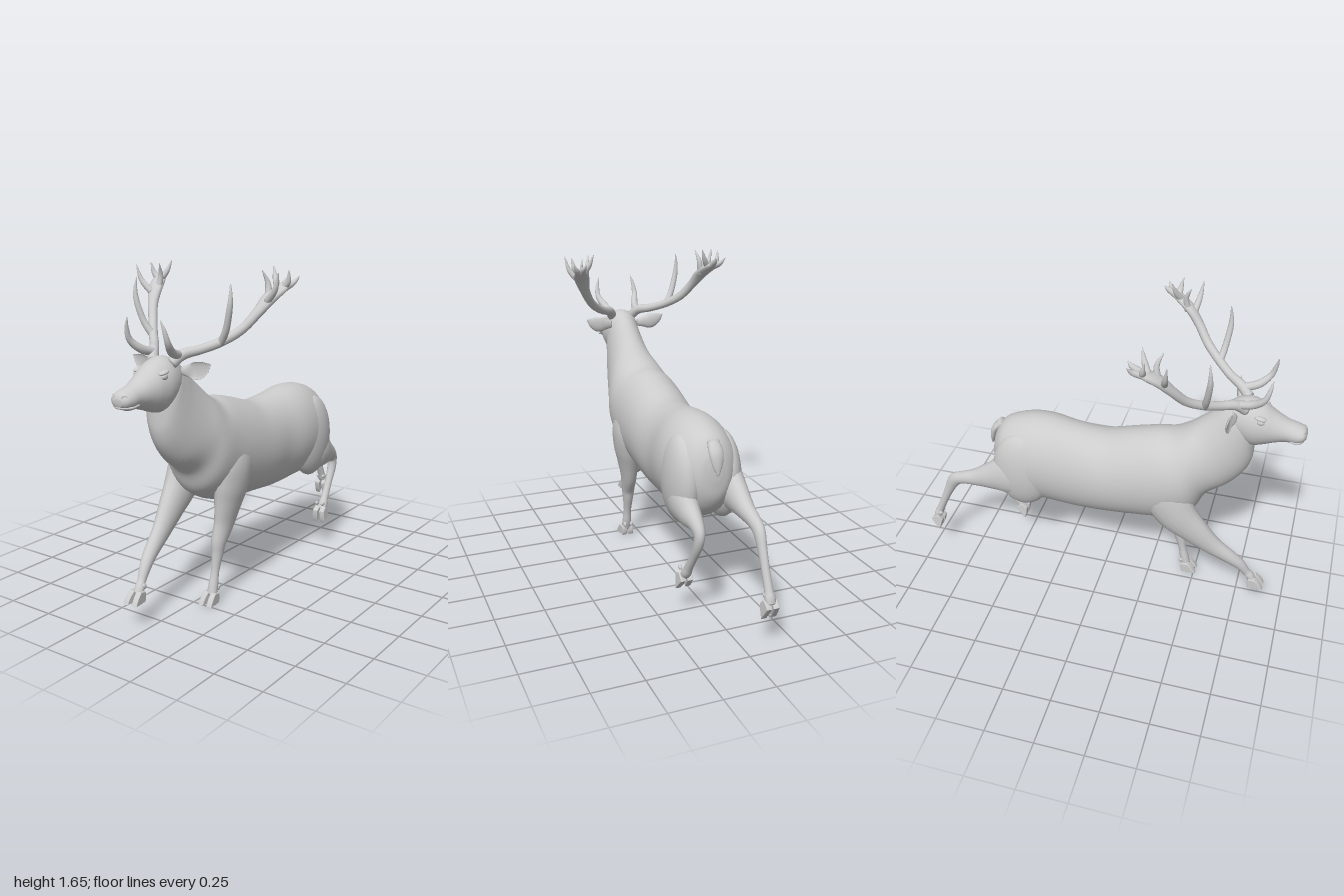
import * as THREE from 'three';

const V = (x, y, z) => new THREE.Vector3(x, y, z);
const X = V(1, 0, 0), Z = V(0, 0, 1);
const material = new THREE.MeshStandardMaterial({ color: 0xcccccc, roughness: 0.8 });

function part(name, geometry) {
  const m = new THREE.Mesh(geometry, material);
  m.name = name;
  return m;
}

// Smooth closed skin over elliptical rings { c: centre, side, up }
function skin(rings, n) {
  const pos = [], idx = [];
  for (const { c, side, up } of rings) {
    for (let j = 0; j < n; j++) {
      const a = (j / n) * Math.PI * 2;
      const p = c.clone().addScaledVector(side, Math.cos(a)).addScaledVector(up, Math.sin(a));
      pos.push(p.x, p.y, p.z);
    }
  }
  for (let i = 0; i < rings.length - 1; i++) {
    for (let j = 0; j < n; j++) {
      const k = (j + 1) % n, a = i * n + j, b = i * n + k;
      idx.push(a, b, b + n, a, b + n, a + n);
    }
  }
  const last = (rings.length - 1) * n, tip = rings.length * n;
  for (const r of [rings[0], rings[rings.length - 1]]) pos.push(r.c.x, r.c.y, r.c.z);
  for (let j = 0; j < n; j++) {
    const k = (j + 1) % n;
    idx.push(tip, k, j, tip + 1, last + j, last + k);
  }
  const g = new THREE.BufferGeometry();
  g.setAttribute('position', new THREE.Float32BufferAttribute(pos, 3));
  g.setIndex(idx);
  g.computeVertexNormals();
  return g;
}

const spline = (pts) => new THREE.CatmullRomCurve3(pts, false, 'catmullrom', 0.5);

// Body loft from stations [topZ, topY, bottomZ, bottomY, halfWidth, centreX]
function trunk(rows, n, sub) {
  const mid = spline(rows.map(([tz, ty, bz, by, , x = 0]) => V(x, (ty + by) / 2, (tz + bz) / 2)));
  const ups = spline(rows.map(([tz, ty, bz, by]) => V(0, (ty - by) / 2, (tz - bz) / 2)));
  const wid = spline(rows.map((r) => V(r[4], 0, 0)));
  const rings = [], steps = (rows.length - 1) * sub;
  for (let i = 0; i <= steps; i++) {
    const t = i / steps;
    rings.push({ c: mid.getPoint(t), side: wid.getPoint(t), up: ups.getPoint(t) });
  }
  return skin(rings, n);
}

// Tapered limb along stations [x, y, z, radius across, radius in plane]
function limb(rows, n = 16, sub = 5, ref = X) {
  const path = spline(rows.map((r) => V(r[0], r[1], r[2])));
  const rad = spline(rows.map((r) => V(r[3], r[4] ?? r[3], 0)));
  const rings = [], steps = (rows.length - 1) * sub;
  for (let i = 0; i <= steps; i++) {
    const t = path.getTangent(i / steps), r = rad.getPoint(i / steps);
    const side = ref.clone().addScaledVector(t, -ref.dot(t)).normalize();
    const up = t.clone().cross(side);
    rings.push({ c: path.getPoint(i / steps), side: side.multiplyScalar(r.x), up: up.multiplyScalar(r.y) });
  }
  return skin(rings, n);
}

function ball(name, x, y, z, rx, ry, rz, tilt = 0) {
  const m = part(name, new THREE.SphereGeometry(1, 24, 16));
  m.position.set(x, y, z);
  m.scale.set(rx, ry, rz);
  m.rotation.x = tilt;
  return m;
}

// Cloven hoof with its heel at (x, y, z), pitched toe-down
function hoof(name, x, y, z, pitch) {
  const g = new THREE.Group();
  g.name = name;
  const s = new THREE.Shape();
  s.moveTo(0.002, 0.004);
  s.lineTo(0.072, 0.004);
  s.quadraticCurveTo(0.055, 0.035, 0.03, 0.055);
  s.lineTo(0, 0.05);
  s.quadraticCurveTo(-0.008, 0.025, 0.002, 0.004);
  const toe = new THREE.ExtrudeGeometry(s, {
    depth: 0.018, bevelEnabled: true, bevelSize: 0.004, bevelThickness: 0.006, bevelSegments: 2, curveSegments: 5,
  }).translate(0, 0, -0.009).rotateY(-Math.PI / 2);
  for (const k of [-1, 1]) {
    const t = part('toe', toe);
    t.position.x = k * 0.018;
    t.rotation.y = k * 0.1;
    g.add(t, ball('dewclaw', k * 0.018, 0.072, -0.012, 0.009, 0.015, 0.011, 0.5));
  }
  g.position.set(x, y, z);
  g.rotation.x = pitch;
  return g;
}

// s = 1 builds the left antler, s = -1 the right one
function antler(s) {
  const g = new THREE.Group();
  g.name = s > 0 ? 'leftAntler' : 'rightAntler';
  const add = (name, rows) => g.add(part(name, limb(rows.map(([x, ...r]) => [s * x, ...r]), 12, 6)));
  add('beam', [[0.055, 1.24, 0.70, 0.026], [0.085, 1.28, 0.655, 0.025], [0.135, 1.298, 0.59, 0.022],
    [0.20, 1.33, 0.52, 0.022], [0.26, 1.38, 0.45, 0.022], [0.305, 1.45, 0.395, 0.026, 0.022],
    [0.335, 1.515, 0.34, 0.038, 0.022], [0.36, 1.555, 0.28, 0.036, 0.018], [0.37, 1.575, 0.24, 0.018, 0.012]]);
  add('browTine', [[0.075, 1.275, 0.66, 0.02], [0.09, 1.30, 0.735, 0.02], [0.11, 1.345, 0.785, 0.015],
    [0.108, 1.40, 0.805, 0.01], [0.095, 1.45, 0.815, 0.002]]);
  add('middleTine', [[0.20, 1.325, 0.525, 0.018], [0.24, 1.39, 0.54, 0.016], [0.268, 1.48, 0.553, 0.014],
    [0.275, 1.54, 0.553, 0.009], [0.27, 1.595, 0.547, 0.002]]);
  // short points around the crown: start, bend, tip
  const points = [
    [0.335, 1.50, 0.36, 0.39, 1.56, 0.375, 0.413, 1.635, 0.385],
    [0.325, 1.51, 0.33, 0.315, 1.58, 0.32, 0.30, 1.64, 0.345],
    [0.35, 1.55, 0.29, 0.32, 1.60, 0.265, 0.30, 1.652, 0.25],
    [0.37, 1.56, 0.27, 0.395, 1.59, 0.275, 0.405, 1.64, 0.285],
    [0.36, 1.565, 0.26, 0.36, 1.59, 0.22, 0.355, 1.61, 0.20],
    [0.375, 1.56, 0.27, 0.395, 1.58, 0.23, 0.415, 1.61, 0.21],
  ];
  for (const p of points) {
    add('crownPoint', [[...p.slice(0, 3), 0.018], [...p.slice(3, 6), 0.013], [...p.slice(6), 0.002]]);
  }
  return g;
}

// Leaf-shaped ear, its front hollowed into a cup
function ear(s) {
  const geo = limb([[0, 0, 0, 0.012, 0.02], [s * 0.035, 0.003, 0, 0.016, 0.03], [s * 0.075, 0.006, 0, 0.018, 0.041],
    [s * 0.115, 0.022, 0, 0.013, 0.03], [s * 0.148, 0.04, 0, 0.003, 0.004]], 20, 5, Z);
  const p = geo.attributes.position;
  for (let i = 0; i < p.count; i++) {
    const out = THREE.MathUtils.smoothstep(Math.abs(p.getX(i)), 0.02, 0.06);
    if (p.getZ(i) > 0) p.setZ(i, p.getZ(i) * (1 - 1.5 * out));
  }
  geo.computeVertexNormals();
  const m = part(s > 0 ? 'leftEar' : 'rightEar', geo);
  m.position.set(s * 0.078, 1.205, 0.655);
  m.rotation.y = s * 0.12;
  return m;
}

export function createModel() {
  const stag = new THREE.Group();
  stag.name = 'stag';

  // Torso running forward into the raised neck
  stag.add(part('torsoAndNeck', trunk([
    [-0.605, 0.79, -0.61, 0.70, 0.03], [-0.588, 0.85, -0.595, 0.60, 0.085], [-0.535, 0.915, -0.53, 0.51, 0.145],
    [-0.42, 0.957, -0.42, 0.455, 0.18], [-0.30, 0.965, -0.30, 0.45, 0.184], [-0.15, 0.945, -0.15, 0.44, 0.174, -0.006],
    [0, 0.938, 0, 0.452, 0.184, -0.01], [0.15, 0.98, 0.18, 0.47, 0.188, -0.014], [0.27, 1.012, 0.36, 0.50, 0.19, -0.016],
    [0.35, 1.022, 0.49, 0.575, 0.185, -0.012], [0.42, 1.06, 0.55, 0.685, 0.162, -0.006], [0.48, 1.11, 0.65, 0.755, 0.132],
    [0.54, 1.165, 0.72, 0.84, 0.112], [0.59, 1.215, 0.752, 0.92, 0.10], [0.635, 1.245, 0.757, 1.0, 0.09],
    [0.68, 1.24, 0.755, 1.06, 0.07]], 40, 5)));
  stag.add(ball('bellySheath', 0, 0.462, -0.13, 0.03, 0.026, 0.13));
  stag.add(part('tail', limb([[0, 0.885, -0.565, 0.03, 0.022], [0, 0.84, -0.605, 0.036, 0.02],
    [0, 0.785, -0.622, 0.026, 0.015], [0, 0.735, -0.632, 0.005]])));

  // Head
  stag.add(part('head', trunk([
    [0.60, 1.215, 0.64, 1.08, 0.05], [0.645, 1.255, 0.68, 1.045, 0.084], [0.71, 1.275, 0.745, 1.022, 0.098],
    [0.78, 1.255, 0.80, 1.035, 0.09], [0.84, 1.215, 0.855, 1.055, 0.073], [0.90, 1.182, 0.90, 1.067, 0.06],
    [0.95, 1.166, 0.945, 1.068, 0.058], [0.985, 1.152, 0.977, 1.08, 0.05], [0.999, 1.128, 0.995, 1.095, 0.026]], 28, 5)));
  stag.add(part('lips', limb([[-0.061, 1.098, 0.925, 0.004], [-0.05, 1.09, 0.965, 0.005], [0, 1.088, 0.988, 0.006],
    [0.05, 1.09, 0.965, 0.005], [0.061, 1.098, 0.925, 0.004]], 8, 6, V(0, 1, 0))));
  for (const s of [-1, 1]) {
    stag.add(ball('eye', s * 0.08, 1.198, 0.778, 0.012, 0.014, 0.019));
    stag.add(ball('browRidge', s * 0.074, 1.216, 0.775, 0.018, 0.01, 0.03, 0.2));
    const nostril = part('nostril', new THREE.TorusGeometry(0.012, 0.004, 8, 16));
    nostril.position.set(s * 0.03, 1.132, 0.985);
    nostril.rotation.y = s * 0.6;
    stag.add(nostril, ear(s), antler(s));
  }

  // Front legs: left planted, right reaching forward
  stag.add(part('leftFrontLeg', limb([[0.10, 0.82, 0.31, 0.05, 0.09], [0.112, 0.70, 0.31, 0.072, 0.125],
    [0.108, 0.59, 0.325, 0.07, 0.112], [0.10, 0.50, 0.34, 0.056, 0.09], [0.09, 0.40, 0.36, 0.042, 0.067],
    [0.082, 0.31, 0.395, 0.036, 0.044], [0.08, 0.25, 0.405, 0.029, 0.033], [0.078, 0.16, 0.423, 0.021, 0.021],
    [0.077, 0.09, 0.438, 0.025, 0.024], [0.076, 0.04, 0.452, 0.027, 0.022]])));
  stag.add(hoof('leftFrontHoof', 0.075, 0, 0.435, 0));
  stag.add(part('rightFrontLeg', limb([[-0.125, 0.82, 0.32, 0.05, 0.09], [-0.13, 0.70, 0.35, 0.07, 0.125],
    [-0.13, 0.58, 0.415, 0.068, 0.11], [-0.122, 0.485, 0.505, 0.055, 0.083], [-0.108, 0.39, 0.605, 0.04, 0.056],
    [-0.092, 0.315, 0.705, 0.034, 0.038], [-0.08, 0.265, 0.76, 0.028, 0.03], [-0.07, 0.21, 0.80, 0.021, 0.021],
    [-0.066, 0.185, 0.82, 0.025, 0.022], [-0.064, 0.155, 0.838, 0.026, 0.02]])));
  stag.add(hoof('rightFrontHoof', -0.064, 0.118, 0.822, 0));

  // Hind legs: left folded under, right kicked back
  for (const s of [-1, 1]) stag.add(ball(s > 0 ? 'leftHaunch' : 'rightHaunch', s * 0.105, 0.67, -0.43, 0.085, 0.225, 0.16));
  stag.add(part('leftHindLeg', limb([[0.11, 0.62, -0.40, 0.06, 0.12], [0.115, 0.58, -0.48, 0.068, 0.115],
    [0.115, 0.545, -0.56, 0.055, 0.08], [0.112, 0.52, -0.63, 0.038, 0.048], [0.11, 0.48, -0.672, 0.027, 0.034],
    [0.112, 0.42, -0.665, 0.024, 0.027], [0.116, 0.34, -0.622, 0.02, 0.021], [0.12, 0.27, -0.578, 0.021, 0.021],
    [0.122, 0.235, -0.556, 0.026, 0.024], [0.123, 0.205, -0.535, 0.026, 0.02]])));
  stag.add(hoof('leftHindHoof', 0.123, 0.19, -0.565, 0.85));
  stag.add(part('rightHindLeg', limb([[-0.11, 0.65, -0.40, 0.06, 0.12], [-0.118, 0.63, -0.49, 0.068, 0.13],
    [-0.12, 0.60, -0.59, 0.058, 0.088], [-0.12, 0.568, -0.69, 0.042, 0.052], [-0.12, 0.548, -0.77, 0.033, 0.037],
    [-0.118, 0.52, -0.825, 0.028, 0.037], [-0.116, 0.45, -0.865, 0.022, 0.027], [-0.115, 0.36, -0.905, 0.02, 0.021],
    [-0.115, 0.28, -0.94, 0.021, 0.021], [-0.115, 0.25, -0.953, 0.026, 0.023], [-0.115, 0.22, -0.965, 0.025, 0.018]])));
  stag.add(hoof('rightHindHoof', -0.115, 0.21, -0.992, 1.0));

  return stag;
}
